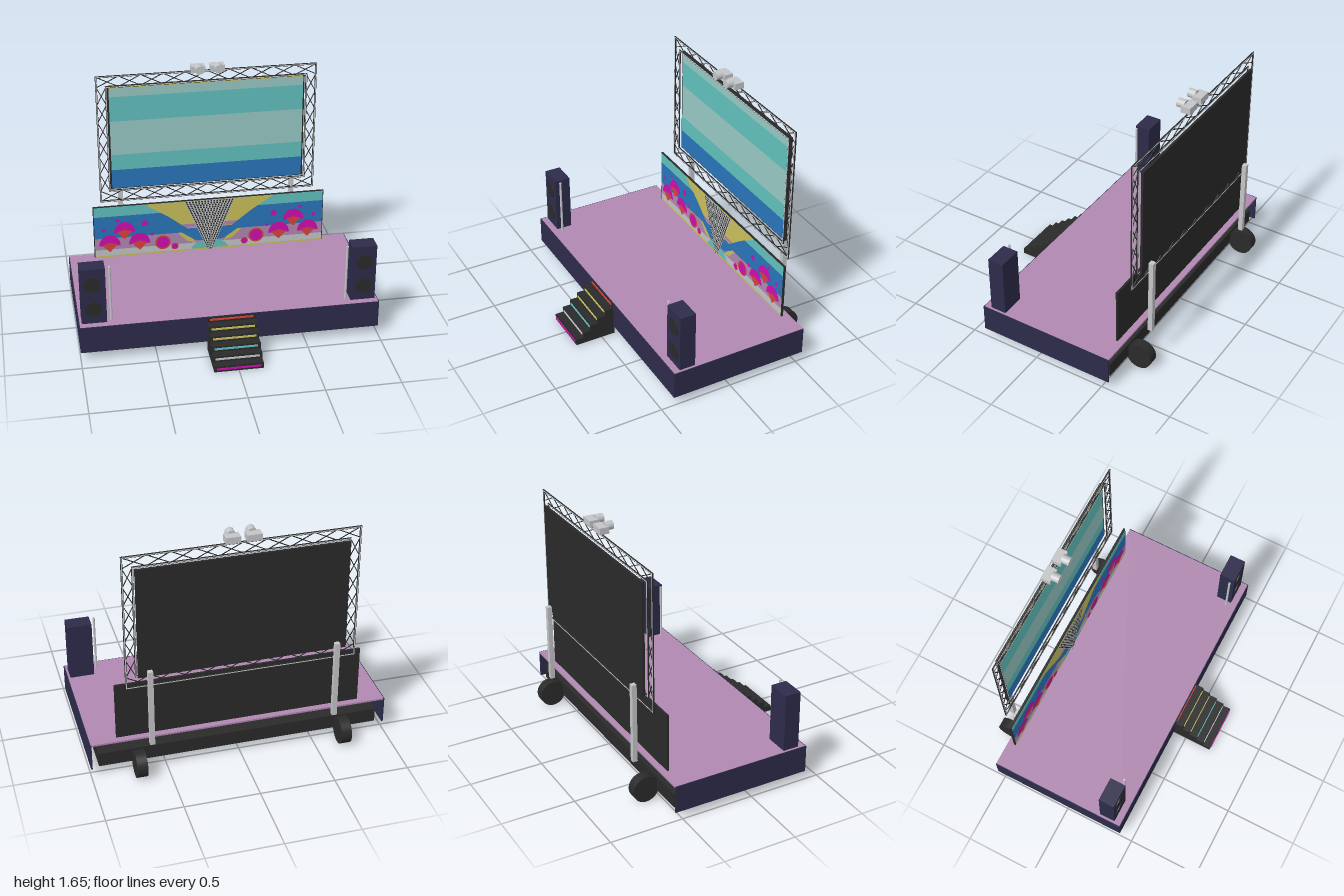
import * as THREE from 'three';
import { mergeGeometries } from 'three/addons/utils/BufferGeometryUtils.js';

const mat = (name, hex) => {
  const m = new THREE.MeshStandardMaterial({ color: hex });
  m.name = name;
  return m;
};

export function createModel() {
  const navy = mat('navy', 0x2d2b4a), mauve = mat('mauve', 0xb088b0), dark = mat('charcoal', 0x2a2a2a);
  const silver = mat('silver', 0xc4c5c8), teal = mat('teal', 0x62c1be), pale = mat('pale teal', 0x98c9c5);
  const blue = mat('blue', 0x2a76bb), yellow = mat('yellow', 0xc9c05c);
  const magenta = mat('magenta', 0xcf0eb0), red = mat('red', 0xd8423f);

  const model = new THREE.Group();
  model.name = 'mobileStage';
  const add = (name, geo, m) => {
    const mesh = new THREE.Mesh(geo, m);
    mesh.name = name;
    model.add(mesh);
    return mesh;
  };
  // Box given by its minimum and maximum on each axis
  const box = (name, m, x0, x1, y0, y1, z0, z1) =>
    add(name, new THREE.BoxGeometry(x1 - x0, y1 - y0, z1 - z0)
      .translate((x0 + x1) / 2, (y0 + y1) / 2, (z0 + z1) / 2), m);
  const poly = (pts) => new THREE.Shape(pts.map(([x, y]) => new THREE.Vector2(x, y)));
  // Flat painted faces at depth z, facing the front
  const paint = (name, m, z, shapes) =>
    add(name, new THREE.ShapeGeometry(shapes, 20).translate(0, 0, z), m);
  const rect = (x0, x1, y0, y1) => poly([[x0, y0], [x1, y0], [x1, y1], [x0, y1]]);
  const disc = (x, y, r) => new THREE.Shape().absarc(x, y, r, 0, Math.PI * 2);
  const mirrorPts = (pts) => [poly(pts), poly(pts.map(([x, y]) => [-x, y]).reverse())];

  // Deck, skirts and chassis; the rear is open under the deck
  box('deck', mauve, -0.995, 0.995, 0.238, 0.25, -0.55, 0.405);
  box('frontSkirt', navy, -1, 1, 0.06, 0.249, 0.4, 0.41);
  box('chassis', dark, -0.945, 0.945, 0.062, 0.16, -0.53, 0.4);

  for (const s of [-1, 1]) {
    const side = s < 0 ? 'right' : 'left';
    const sideBox = (name, m, x0, x1, ...r) =>
      box(side + name, m, Math.min(s * x0, s * x1), Math.max(s * x0, s * x1), ...r);
    sideBox('Skirt', navy, 0.99, 1, 0.06, 0.249, -0.55, 0.41);

    // Wheels
    for (const [n, z] of [['RearWheel', -0.605], ['FrontWheel', 0.22]]) {
      add(side + n, new THREE.CylinderGeometry(0.09, 0.09, 0.07, 32)
        .rotateZ(Math.PI / 2).translate(s * 0.69, 0.09, z), dark);
    }
    // Loudspeaker with two cones and a pole beside it
    sideBox('Speaker', navy, 0.815, 0.98, 0.25, 0.65, 0.25, 0.36);
    for (const y of [0.355, 0.537]) {
      add(side + 'SpeakerCone', new THREE.CylinderGeometry(0.055, 0.055, 0.006, 32)
        .rotateX(Math.PI / 2).translate(s * 0.9, y, 0.362), dark);
    }
    add(side + 'Pole', new THREE.CylinderGeometry(0.008, 0.008, 0.4, 12).translate(s * 0.785, 0.45, 0.335), silver);

    // Screen support post and spotlight
    sideBox('ScreenPost', silver, 0.595, 0.628, 0.25, 0.8, -0.645, -0.613);
    sideBox('SpotlightBody', silver, 0.02, 0.115, 1.59, 1.635, -0.585, -0.52);
    add(side + 'SpotlightLens', new THREE.CylinderGeometry(0.029, 0.029, 0.055, 24)
      .rotateX(Math.PI / 2).translate(s * 0.066, 1.623, -0.503), silver);
  }

  // Stairs with a coloured strip on each riser
  const strips = [magenta, silver, teal, yellow, yellow, red];
  strips.forEach((m, i) => {
    const z = i < 5 ? 0.688 - i * 0.055 : 0.414, top = (i + 1) * 0.0415;
    box('stairStep', dark, -0.163, 0.163, 0, top, 0.402, z);
    box('stairStrip', m, -0.145, 0.145, top - 0.026, top - 0.013, z - 0.002, z + 0.005);
  });

  // Screen panel with colour bands
  box('screenPanel', dark, -0.68, 0.68, 0.74, 1.508, -0.598, -0.582);
  const levels = [0.745, 0.885, 1.0, 1.25, 1.43, 1.492, 1.504];
  [blue, teal, pale, teal, pale, yellow].forEach((m, i) =>
    paint('screenBand', m, -0.58, rect(-0.67, 0.67, levels[i], levels[i + 1])));

  // Truss frame: bars in the z = -0.566 plane
  const bar = ([x0, y0], [x1, y1], w, d) => {
    const dx = x1 - x0, dy = y1 - y0;
    return new THREE.BoxGeometry(Math.hypot(dx, dy) + w * 0.9, w, d)
      .rotateZ(Math.atan2(dy, dx)).translate((x0 + x1) / 2, (y0 + y1) / 2, -0.566);
  };
  const edges = [], cores = [], lacing = [];
  for (const [x, y0, y1] of [[0.753, 0.657, 1.586], [0.688, 0.735, 1.511]]) {
    const c = [[-x, y0], [x, y0], [x, y1], [-x, y1]];
    c.forEach((p, i) => {
      edges.push(bar(p, c[(i + 1) % 4], 0.012, 0.008));
      cores.push(bar(p, c[(i + 1) % 4], 0.006, 0.011));
    });
  }
  const lace = (n, a, b, at) => {
    for (let i = 0; i < n; i++) {
      const u = a + (b - a) * i / n, v = a + (b - a) * (i + 1) / n;
      lacing.push(bar(at(u, 0), at(v, 1), 0.005, 0.004), bar(at(u, 1), at(v, 0), 0.005, 0.004));
    }
  };
  lace(10, -0.753, 0.753, (t, k) => [t, k ? 0.735 : 0.657]);
  lace(10, -0.753, 0.753, (t, k) => [t, k ? 1.586 : 1.511]);
  for (const s of [-1, 1]) lace(6, 0.735, 1.511, (t, k) => [s * (k ? 0.753 : 0.688), t]);
  add('trussChordEdges', mergeGeometries(edges), dark);
  add('trussChordCores', mergeGeometries(cores), silver);
  add('trussLacing', mergeGeometries(lacing), dark);

  // Painted backdrop: landscape bands
  box('backdropPanel', dark, -0.82, 0.82, 0.25, 0.648, -0.508, -0.494);
  const bands = [[yellow, 0.25, 0.262], [silver, 0.262, 0.31], [mauve, 0.31, 0.4], [blue, 0.4, 0.57], [teal, 0.57, 0.645]];
  for (const [m, y0, y1] of bands) paint('backdropBand', m, -0.492, rect(-0.815, 0.815, y0, y1));
  paint('backdropSunlight', yellow, -0.491, mirrorPts([[0, 0.38], [0.12, 0.4], [0.3, 0.54], [0.46, 0.645], [0, 0.645]]));
  paint('backdropHaze', mauve, -0.49, mirrorPts([[0, 0.435], [0.165, 0.435], [0.2, 0.465], [0, 0.465]]));
  paint('backdropHill', blue, -0.49, mirrorPts([[0, 0.32], [0.1, 0.33], [0.2, 0.4], [0.17, 0.43], [0.1, 0.43], [0, 0.4]]));
  paint('backdropMeadow', yellow, -0.49, mirrorPts([[0.1, 0.31], [0.16, 0.33], [0.23, 0.4], [0.2, 0.4], [0.12, 0.345]]));
  paint('backdropPool', teal, -0.489, new THREE.Shape().absellipse(0, 0.263, 0.13, 0.065, 0, Math.PI, false, 0));

  // Painted flowers, mirrored on both halves
  const domes = [], cones = [], discs = [], rims = [];
  for (const s of [-1, 1]) {
    for (const [x, y] of [[0.605, 0.455], [0.71, 0.36], [0.5, 0.36]]) {
      domes.push(new THREE.Shape().absellipse(s * x, y - 0.02, 0.075, 0.085, 0, Math.PI, false, 0));
      const cx = s * x;
      cones.push(poly([[cx, y - 0.07], [cx + 0.055, y - 0.012], [cx, y + 0.005], [cx - 0.055, y - 0.012]]));
    }
    for (const [x, y, r] of [[0.335, 0.335, 0.055], [0.25, 0.297, 0.026]]) {
      rims.push(disc(s * x, y, r));
      discs.push(disc(s * x, y, r * 0.8));
    }
    for (const [x, y, r] of [[0.75, 0.468, 0.014], [0.46, 0.5, 0.022], [0.65, 0.535, 0.012], [0.41, 0.41, 0.012]])
      discs.push(disc(s * x, y, r));
  }
  paint('flowerDomes', magenta, -0.49, domes);
  paint('flowerCones', red, -0.489, cones);
  paint('flowerRims', red, -0.489, rims);
  paint('flowerDiscs', magenta, -0.488, discs);

  // Fan of beams at the centre, with dark dashes running outward
  box('backdropFanFoot', silver, -0.02, 0.02, 0.25, 0.256, -0.494, -0.484);
  paint('backdropFan', silver, -0.484, poly([[-0.015, 0.25], [0.015, 0.25], [0.178, 0.645], [-0.178, 0.645]]));
  const dashes = [];
  for (let row = 0; row < 26; row++) {
    const y = 0.256 + row * 0.015, half = 0.015 + (y - 0.25) * 0.41;
    const n = 4 + Math.floor(row / 2);
    for (let i = 0; i < n; i++) {
      const k = ((i + 0.5) / n) * 2 - 1, w = half / n * 0.55, x = k * half, lean = k * 0.0045;
      dashes.push(poly([[x - w, y], [x + w, y], [x + w + lean, y + 0.0115], [x - w + lean, y + 0.0115]]));
    }
  }
  paint('backdropFanDashes', dark, -0.483, dashes);

  return model;
}
